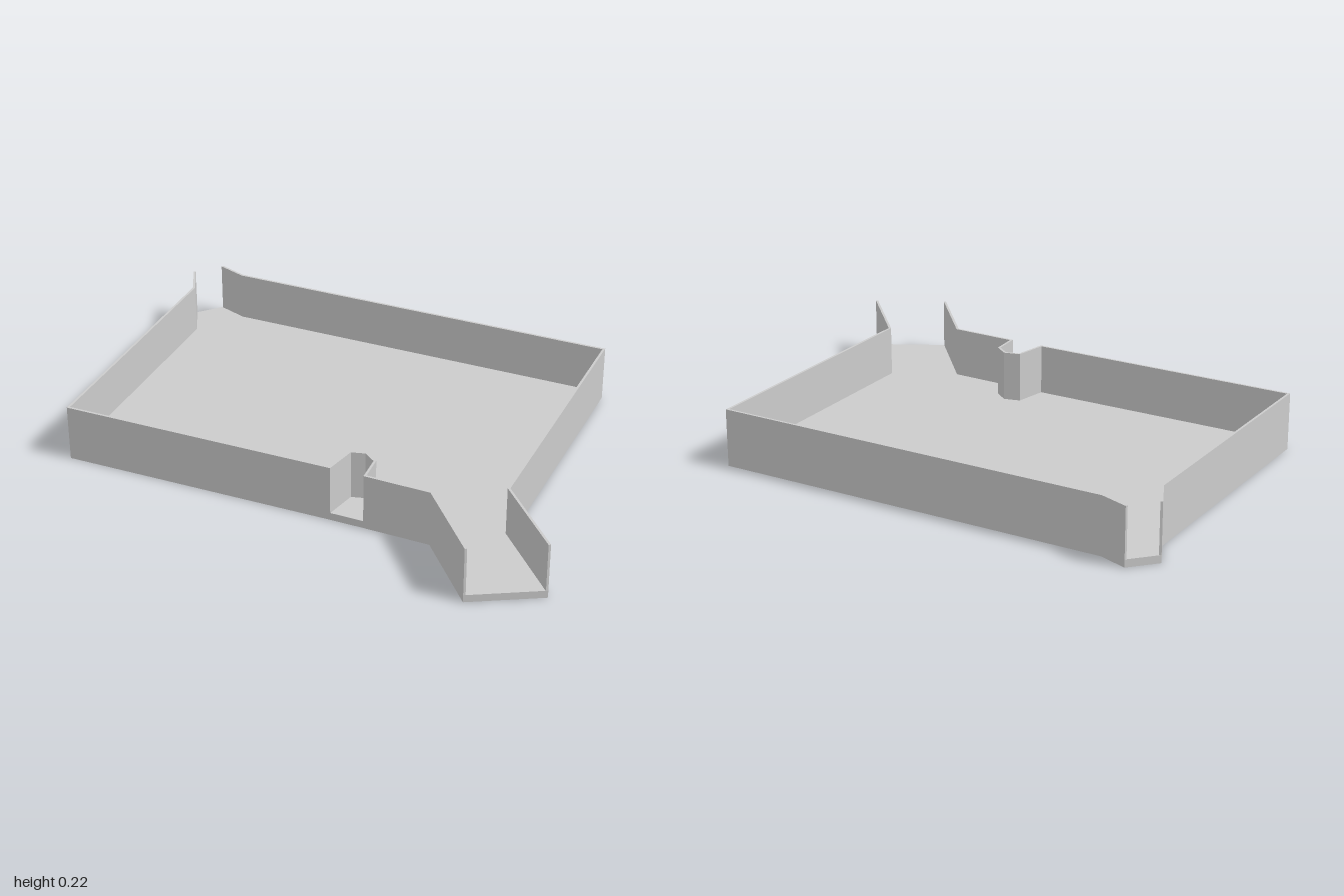
import * as THREE from 'three';

const HEIGHT = 0.225, FLOOR = 0.03, THICK = 0.009;

// Outline runs, as [x, z], clockwise seen from above
const backRun = [[-0.91, -0.75], [-0.8, -0.712], [0.765, -0.727], [0.757, 0.34], [1, 0.607]];
const frontRun = [
  [0.74, 0.748], [0.508, 0.478], [0.25, 0.475],
  [0.245, 0.37], [0.2, 0.336], [0.147, 0.35], [0.12, 0.475], // notch
  [-0.95, 0.49], [-0.94, -0.53], [-1, -0.655],
];
const notch = new Set(frontRun.slice(3, 6));

// Extrude a plan polygon upward between two heights
function slab(points, y0, y1) {
  const shape = new THREE.Shape(points.map(([x, z]) => new THREE.Vector2(x, -z)));
  const geo = new THREE.ExtrudeGeometry(shape, { depth: y1 - y0, bevelEnabled: false });
  return geo.rotateX(-Math.PI / 2).translate(0, y0, 0);
}

// Shift an open run inward with mitred corners
function inset(run, d) {
  const normals = run.slice(1).map(([x, z], i) => {
    const dx = x - run[i][0], dz = z - run[i][1], l = Math.hypot(dx, dz);
    return [-dz / l, dx / l];
  });
  return run.map(([x, z], i) => {
    const a = normals[Math.max(i - 1, 0)], b = normals[Math.min(i, normals.length - 1)];
    const k = d / (1 + a[0] * b[0] + a[1] * b[1]);
    return [x + (a[0] + b[0]) * k, z + (a[1] + b[1]) * k];
  });
}

export function createModel() {
  const group = new THREE.Group();
  group.name = 'tray';
  const material = new THREE.MeshStandardMaterial({ color: 0xcccccc, flatShading: true });
  const add = (name, geometry) => {
    const mesh = new THREE.Mesh(geometry, material);
    mesh.name = name;
    group.add(mesh);
  };

  // Floor continues under the notch
  add('floor', slab([...backRun, ...frontRun.filter((p) => !notch.has(p))], 0, FLOOR));

  // Thin walls, open at the spout and at the back corner
  const wall = (run) => slab([...run, ...inset(run, THICK).reverse()], FLOOR, HEIGHT);
  add('backAndLeftWall', wall(backRun));
  add('frontAndRightWall', wall(frontRun));
  return group;
}
